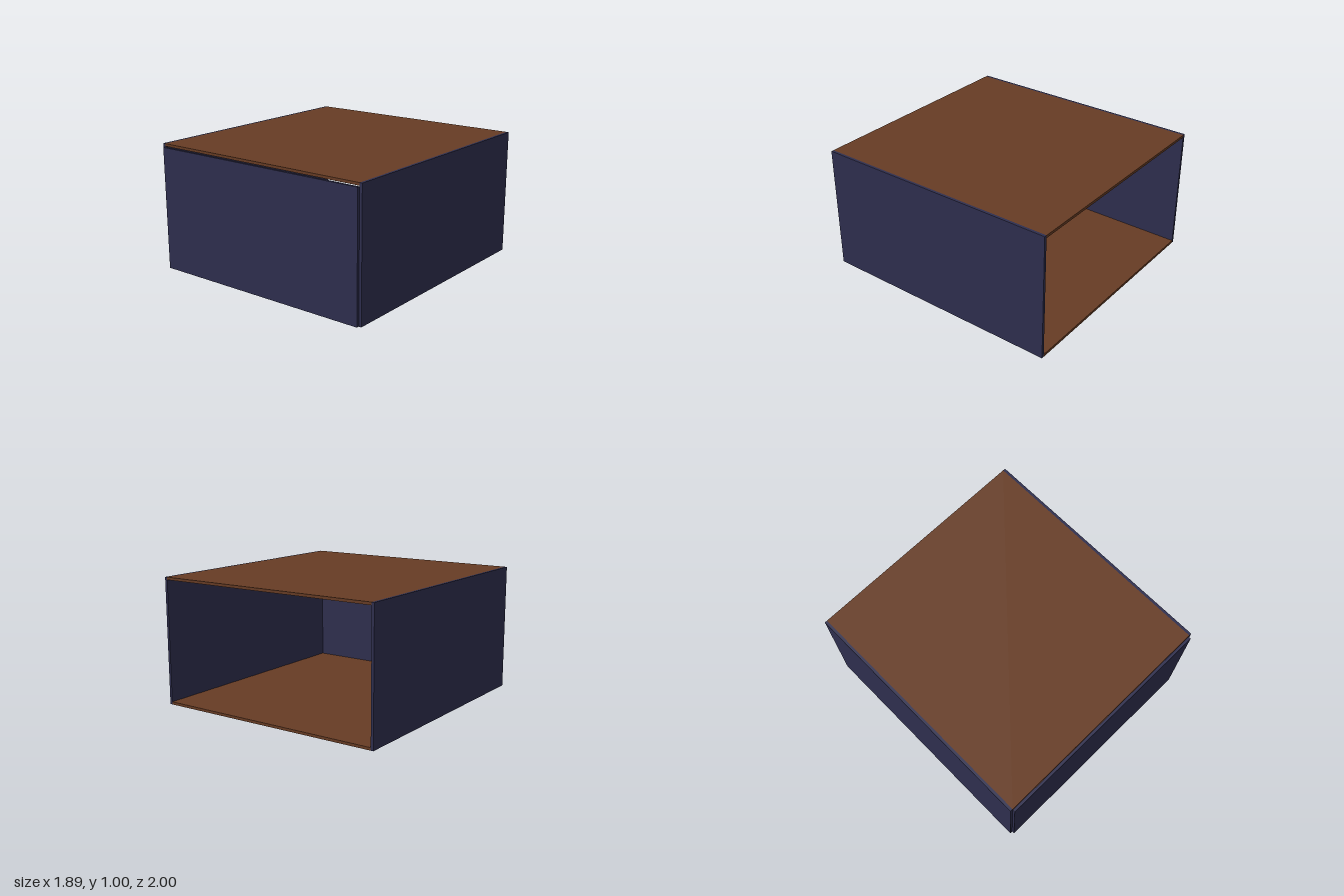
import * as THREE from 'three';

export function createModel() {
  const model = new THREE.Group();
  model.name = 'openBackBox';

  const brown = new THREE.MeshStandardMaterial({ color: 0x673c24 });
  brown.name = 'brown wood';
  const navy = new THREE.MeshStandardMaterial({ color: 0x2f2f4f });
  navy.name = 'navy panel';

  const T = 0.021;       // board thickness
  const innerX = 0.922;  // half width between the side panels
  const backZ = -1;
  const frontZ = 0.979;  // front edge of the carcass

  // Box panel given by its minimum and maximum corners
  function panel(name, material, min, max) {
    const size = max.map((v, i) => v - min[i]);
    const mesh = new THREE.Mesh(new THREE.BoxGeometry(...size), material);
    mesh.position.set(...max.map((v, i) => (v + min[i]) / 2));
    mesh.name = name;
    model.add(mesh);
  }

  // Top and bottom boards
  panel('topBoard', brown, [-innerX, 1 - T, backZ], [innerX, 1, frontZ]);
  panel('bottomBoard', brown, [-innerX, 0, backZ], [innerX, T, frontZ]);

  // Side panels
  panel('leftSide', navy, [innerX, 0, backZ], [innerX + T, 1, frontZ]);
  panel('rightSide', navy, [-innerX - T, 0, backZ], [-innerX, 1, frontZ]);

  // Front panel, set in front of the boards and slightly lower than the top
  panel('frontPanel', navy, [-innerX, 0, frontZ], [innerX, 0.974, 1]);

  return model;
}
